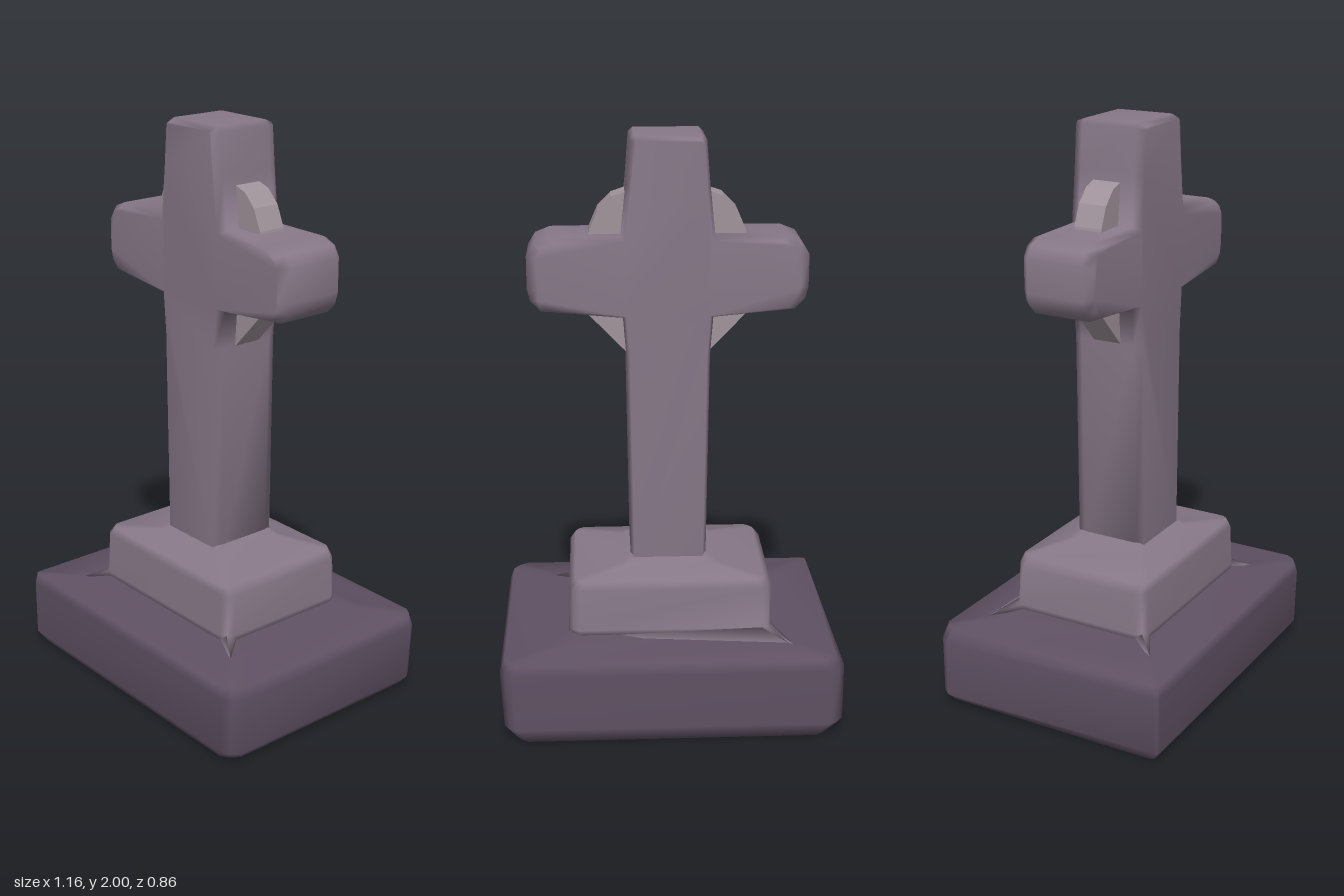
import * as THREE from 'three';
import { mergeVertices } from 'three/addons/utils/BufferGeometryUtils.js';

const darkStone = new THREE.MeshStandardMaterial({ color: 0x5f5163 });
const paleStone = new THREE.MeshStandardMaterial({ color: 0x877888 });
const ringStone = new THREE.MeshStandardMaterial({ color: 0xa0939b });
darkStone.name = 'darkStone';
paleStone.name = 'paleStone';
ringStone.name = 'ringStone';

// Level rectangle with worn corners, three points each:
// front right, back right, back left, front left
function section(y, x0, x1, z0, z1, cuts) {
  const [a, b, c, d] = Array.isArray(cuts) ? cuts : [cuts, cuts, cuts, cuts];
  const k = 0.4;
  return [
    [x1 - a, y, z1], [x1 - a * k, y, z1 - a * k], [x1, y, z1 - a],
    [x1, y, z0 + b], [x1 - b * k, y, z0 + b * k], [x1 - b, y, z0],
    [x0 + c, y, z0], [x0 + c * k, y, z0 + c * k], [x0, y, z0 + c],
    [x0, y, z1 - d], [x0 + d * k, y, z1 - d * k], [x0 + d, y, z1],
  ];
}

// Closed, smooth skin through a stack of sections
function loft(sections) {
  const n = sections[0].length, last = (sections.length - 1) * n;
  const pos = sections.flat(2), index = [];
  const bottom = sections.length * n, top = bottom + 1;
  pos.push(0, sections[0][0][1], 0, 0, sections[sections.length - 1][0][1], 0);
  for (let i = 0; i < n; i++) {
    const j = (i + 1) % n;
    for (let s = 0; s < last; s += n) {
      index.push(s + i, s + j, s + n + j, s + i, s + n + j, s + n + i);
    }
    index.push(bottom, j, i, top, last + i, last + j);
  }
  const g = new THREE.BufferGeometry();
  g.setAttribute('position', new THREE.Float32BufferAttribute(pos, 3));
  g.setIndex(index);
  g.computeVertexNormals();
  return g;
}

function add(group, name, geometry, material) {
  const mesh = new THREE.Mesh(geometry, material);
  mesh.name = name;
  group.add(mesh);
}

function toShape(points) {
  return new THREE.Shape(points.map(([x, y]) => new THREE.Vector2(x, y)));
}

// Base slab, leaning slightly at its front left corner
function baseGeometry() {
  const cuts = [0.05, 0.04, 0.045, 0.012];
  const rows = [
    section(0.005, -0.535, 0.53, -0.425, 0.40, cuts),
    section(0.05, -0.585, 0.57, -0.43, 0.43, cuts),
    section(0.25, -0.585, 0.58, -0.43, 0.43, cuts),
    section(0.29, -0.555, 0.565, -0.425, 0.425, cuts),
    section(0.295, -0.42, 0.41, -0.31, 0.31, 0.03),
    section(0.325, -0.34, 0.335, -0.25, 0.25, 0.03),
  ];
  for (const row of rows.slice(1, 3)) {
    for (const p of row.slice(9)) p[0] += 0.022;
  }
  return loft(rows);
}

// Plinth, its foot spreading into spurs at three corners
function plinthGeometry() {
  const foot = section(0.315, -0.355, 0.35, -0.262, 0.262, 0.045);
  foot[1] = [0.405, 0.298, 0.29];
  foot[6] = [-0.40, 0.302, -0.315];
  foot[7] = [-0.42, 0.298, -0.32];
  foot[10] = [-0.40, 0.298, 0.31];
  return loft([
    foot,
    section(0.335, -0.352, 0.347, -0.26, 0.26, 0.035),
    section(0.48, -0.35, 0.345, -0.253, 0.253, 0.035),
    section(0.51, -0.325, 0.325, -0.245, 0.245, 0.03),
    section(0.53, -0.17, 0.165, -0.15, 0.15, 0.02),
    section(0.56, -0.125, 0.125, -0.12, 0.12, 0.02),
  ]);
}

// Shaft, arms and head in one bevelled outline
function crossGeometry() {
  const right = [
    [0.13, 0.5], [0.14, 1.27], [0.15, 1.40], [0.42, 1.425], [0.455, 1.46],
    [0.465, 1.5], [0.465, 1.61], [0.44, 1.65], [0.39, 1.67], [0.155, 1.672],
    [0.137, 1.84], [0.125, 1.985], [0.11, 2.0],
  ];
  const left = right.map(([x, y]) => [-x, y]).reverse();
  const extruded = new THREE.ExtrudeGeometry(toShape([...right, ...left]), {
    depth: 0.2, bevelThickness: 0.03, bevelSize: 0.012, bevelOffset: -0.012, bevelSegments: 1,
  });
  extruded.translate(0, 0, -0.1);
  extruded.deleteAttribute('normal');
  extruded.deleteAttribute('uv');
  const g = mergeVertices(extruded, 1e-4);
  // Round the arm ends towards front and back
  const p = g.attributes.position;
  for (let i = 0; i < p.count; i++) {
    if (Math.abs(p.getZ(i)) > 0.11 && Math.abs(p.getX(i)) > 0.36) p.setX(i, p.getX(i) * 0.96);
  }
  g.computeVertexNormals();
  return g;
}

// Solid ring behind the crossing: curved above, straight below
function ringGeometry() {
  const right = [
    [0.10, 1.235], [0.15, 1.28], [0.265, 1.4], [0.28, 1.54],
    [0.26, 1.68], [0.23, 1.75], [0.185, 1.795], [0.14, 1.81], [0.10, 1.815],
  ];
  const left = right.map(([x, y]) => [-x, y]).reverse();
  const g = new THREE.ExtrudeGeometry(toShape([...right, ...left]), { depth: 0.1, bevelEnabled: false });
  g.translate(0, 0, -0.05);
  return g;
}

export function createModel() {
  const group = new THREE.Group();
  group.name = 'stoneCross';
  add(group, 'base', baseGeometry(), darkStone);
  add(group, 'plinth', plinthGeometry(), paleStone);
  add(group, 'cross', crossGeometry(), paleStone);
  add(group, 'ring', ringGeometry(), ringStone);
  return group;
}
